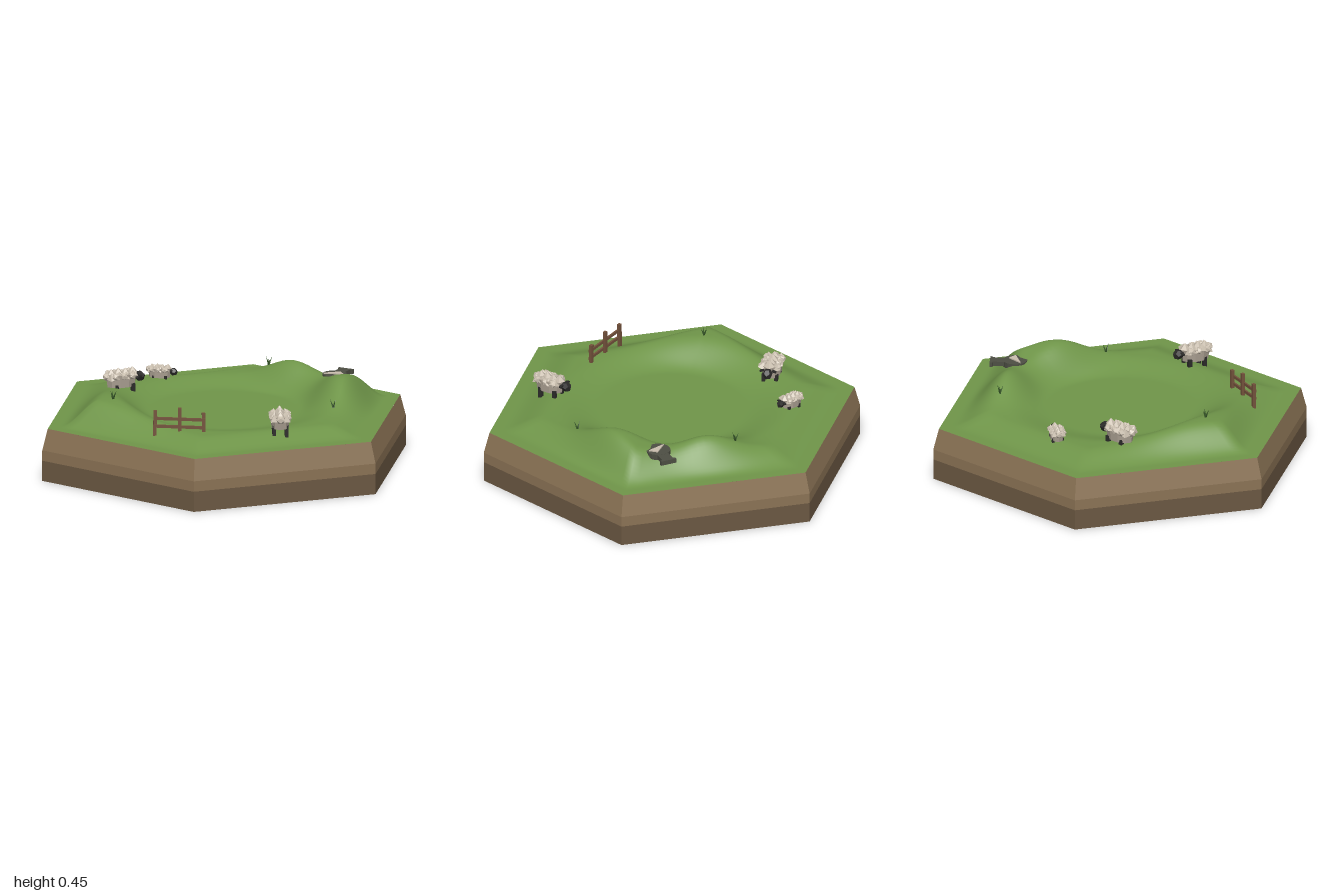
import * as THREE from 'three';

const flat = (name, color, extra = {}) => {
  const m = new THREE.MeshStandardMaterial({ color, flatShading: true, ...extra });
  m.name = name;
  return m;
};
const mats = {
  grass: flat('meadow green', 0x6f9549, { flatShading: false }),
  topsoil: flat('topsoil brown', 0x8b7355),
  subsoil: flat('subsoil brown', 0x6b5842),
  wool: flat('wool', 0xc9beae),
  body: flat('fleece shade', 0xada294),
  dark: flat('sheep black', 0x2b2a29),
  wood: flat('fence wood', 0x74523c),
  blade: flat('dark grass', 0x38592a, { side: THREE.DoubleSide }),
  stone: flat('dark stone', 0x4d4e43),
};

function add(parent, name, geo, mat, pos = [0, 0, 0], rot = [0, 0, 0], scale = [1, 1, 1]) {
  const m = new THREE.Mesh(geo, mat);
  m.name = name;
  m.position.set(...pos);
  m.rotation.set(...rot);
  m.scale.set(...scale);
  parent.add(m);
  return m;
}

const TOP = 0.273, APOTHEM = 0.84, RAD = Math.PI / 180;
const { smoothstep } = THREE.MathUtils;

// Hills on the ring around the central bowl: [angle, extra height, angular spread]
const hills = [[-17, 0.12, 15], [-62, 0.1, 13], [154, 0.078, 24]];

// Ground height: flat hexagonal border, ring of hills, shallow bowl in the middle
function groundHeight(x, z) {
  let hexDist = 0;
  for (let k = 0; k < 6; k++) {
    hexDist = Math.max(hexDist, x * Math.cos(k * 60 * RAD) + z * Math.sin(k * 60 * RAD));
  }
  const deg = Math.atan2(z, x) / RAD;
  let ring = 0.035;
  for (const [a, h, s] of hills) {
    const d = ((deg - a + 540) % 360) - 180;
    ring += h * Math.exp(-d * d / (2 * s * s));
  }
  const edge = 1 - smoothstep(hexDist, 0.59, 0.78);
  return TOP + edge * (0.012 + smoothstep(Math.hypot(x, z), 0.38, 0.6) * ring);
}

function meadowGeometry(segs = 120, rings = 56) {
  const pos = [0, groundHeight(0, 0), 0], index = [];
  for (let r = 1; r <= rings; r++) {
    for (let s = 0; s < segs; s++) {
      const deg = s * 360 / segs;
      const toSide = ((deg + 30) % 60) - 30;
      // circles in the middle blend into hexagons at the border
      const outer = APOTHEM / Math.cos(toSide * RAD);
      const t = r / rings;
      const rad = t * THREE.MathUtils.lerp(APOTHEM, outer, smoothstep(t, 0.3, 0.85));
      const x = rad * Math.cos(deg * RAD), z = rad * Math.sin(deg * RAD);
      pos.push(x, groundHeight(x, z), z);
      const n = (s + 1) % segs, a = 1 + (r - 1) * segs;
      if (r === 1) index.push(0, 1 + n, 1 + s);
      else {
        const b = a - segs;
        index.push(b + s, b + n, a + s, b + n, a + n, a + s);
      }
    }
  }
  const g = new THREE.BufferGeometry();
  g.setAttribute('position', new THREE.Float32BufferAttribute(pos, 3));
  g.setIndex(index);
  g.computeVertexNormals();
  return g;
}

// Sheep facing +z, feet at y = 0
function makeSheep() {
  const g = new THREE.Group();
  for (const x of [-0.032, 0.032]) for (const z of [-0.045, 0.04]) {
    add(g, 'leg', new THREE.BoxGeometry(0.018, 0.07, 0.02), mats.dark, [x, 0.035, z]);
  }
  add(g, 'body', new THREE.CylinderGeometry(0.052, 0.046, 0.065, 10), mats.body,
    [0, 0.087, -0.01], [0, 0, 0], [1, 1, 1.6]);
  // pointed tufts of wool in three staggered rows
  for (let row = -1; row <= 1; row++) for (let i = 0; i < 4; i++) {
    const z = -0.072 + i * 0.038 + (row ? 0 : 0.008);
    const lift = row ? 0 : 0.012;
    add(g, 'woolTuft', new THREE.ConeGeometry(0.029, 0.032, 5), mats.wool,
      [row * 0.031, 0.119 + lift + (i % 2) * 0.004, z], [0, i * 1.3 + row, -row * 0.35]);
  }
  // small lumps on the flanks, chest and rump
  for (const s of [-1, 1]) for (let i = 0; i < 3; i++) {
    add(g, 'woolLump', new THREE.IcosahedronGeometry(0.021, 0), mats.wool,
      [s * 0.039, 0.112, -0.058 + i * 0.046], [i, s, 0]);
  }
  add(g, 'rump', new THREE.IcosahedronGeometry(0.024, 0), mats.wool, [0, 0.108, -0.086]);
  add(g, 'head', new THREE.DodecahedronGeometry(0.027, 0), mats.dark, [0, 0.096, 0.09], [0.3, 0, 0], [0.9, 1, 1.1]);
  for (const s of [-1, 1]) {
    add(g, 'ear', new THREE.BoxGeometry(0.022, 0.008, 0.014), mats.dark, [s * 0.031, 0.108, 0.08], [0, 0, -s * 0.3]);
  }
  return g;
}

function makeFence() {
  const g = new THREE.Group();
  [[-0.128, 0.004], [0, 0.015], [0.122, -0.01]].forEach(([x, y], i) => {
    add(g, 'fencePost', new THREE.BoxGeometry(0.018, 0.135, 0.016), mats.wood, [x, 0.052 + y, 0], [0, 0, (i - 1) * 0.015]);
  });
  for (const y of [0.037, 0.078]) {
    add(g, 'fenceRail', new THREE.BoxGeometry(0.262, 0.015, 0.01), mats.wood, [0, y, 0.008], [0, 0, -0.04]);
  }
  return g;
}

// Three leaning blades
function makeGrassTuft() {
  const g = new THREE.Group();
  for (let i = 0; i < 3; i++) {
    const blade = new THREE.ConeGeometry(0.007, 0.05, 3).translate(0, 0.022, 0);
    const holder = new THREE.Group();
    holder.rotation.y = 0.5 + i * 2.1;
    add(holder, 'grassBlade', blade, mats.blade, [0, 0, 0], [0, 0, -0.4]);
    g.add(holder);
  }
  return g;
}

// Half-buried stone round with a short slab leading out of the valley
function makeStones() {
  const g = new THREE.Group();
  add(g, 'roundStone', new THREE.CylinderGeometry(0.063, 0.063, 0.03, 20), mats.stone, [0, -0.008, 0]);
  add(g, 'stoneSlab', new THREE.BoxGeometry(0.06, 0.024, 0.07), mats.stone, [0, -0.006, -0.08]);
  add(g, 'stoneCap', new THREE.BoxGeometry(0.085, 0.024, 0.014), mats.stone, [0, -0.006, -0.122]);
  const wedge = new THREE.Shape([[-0.055, -0.016], [0.05, -0.016], [0.025, 0.026]].map(p => new THREE.Vector2(...p)));
  add(g, 'paleChip', new THREE.ExtrudeGeometry(wedge, { depth: 0.007, bevelEnabled: false }), mats.wool,
    [0, 0.006, 0], [-Math.PI / 2, 0, 0.3]);
  return g;
}

export function createModel() {
  const model = new THREE.Group();
  model.name = 'hexMeadow';
  const place = (name, part, x, y, z, turn = 0, scale = 1) => {
    part.name = name;
    part.position.set(x, y, z);
    part.rotation.y = turn;
    part.scale.setScalar(scale);
    model.add(part);
  };

  // Hexagonal block of earth
  add(model, 'subsoil', new THREE.CylinderGeometry(1, 1, 0.107, 6), mats.subsoil, [0, 0.0535, 0]);
  add(model, 'topsoil', new THREE.CylinderGeometry(1, 1, 0.055, 6, 1, true), mats.topsoil, [0, 0.1345, 0]);
  add(model, 'topsoilBevel', new THREE.CylinderGeometry(0.97, 1, 0.111, 6, 1, true), mats.topsoil, [0, 0.2175, 0]);
  add(model, 'meadow', meadowGeometry(), mats.grass);

  // Grazing sheep
  place('frontSheep', makeSheep(), 0.37, 0.288, 0.505, Math.atan2(-0.2, -1), 1);
  place('leftSheep', makeSheep(), -0.552, 0.288, -0.172, Math.atan2(0.8, -0.5), 1.03);
  place('backSheep', makeSheep(), -0.4, 0.282, -0.46, Math.atan2(1, 0.08), 0.74);

  place('fence', makeFence(), -0.132, 0.312, 0.618, 0.17);
  place('stones', makeStones(), 0.51, groundHeight(0.51, -0.41) + 0.004, -0.41, -0.35);

  for (const [x, z] of [[-0.53, 0.3], [0.585, 0.1], [0.14, -0.6]]) {
    place('grassTuft', makeGrassTuft(), x, groundHeight(x, z), z, x);
  }
  return model;
}
